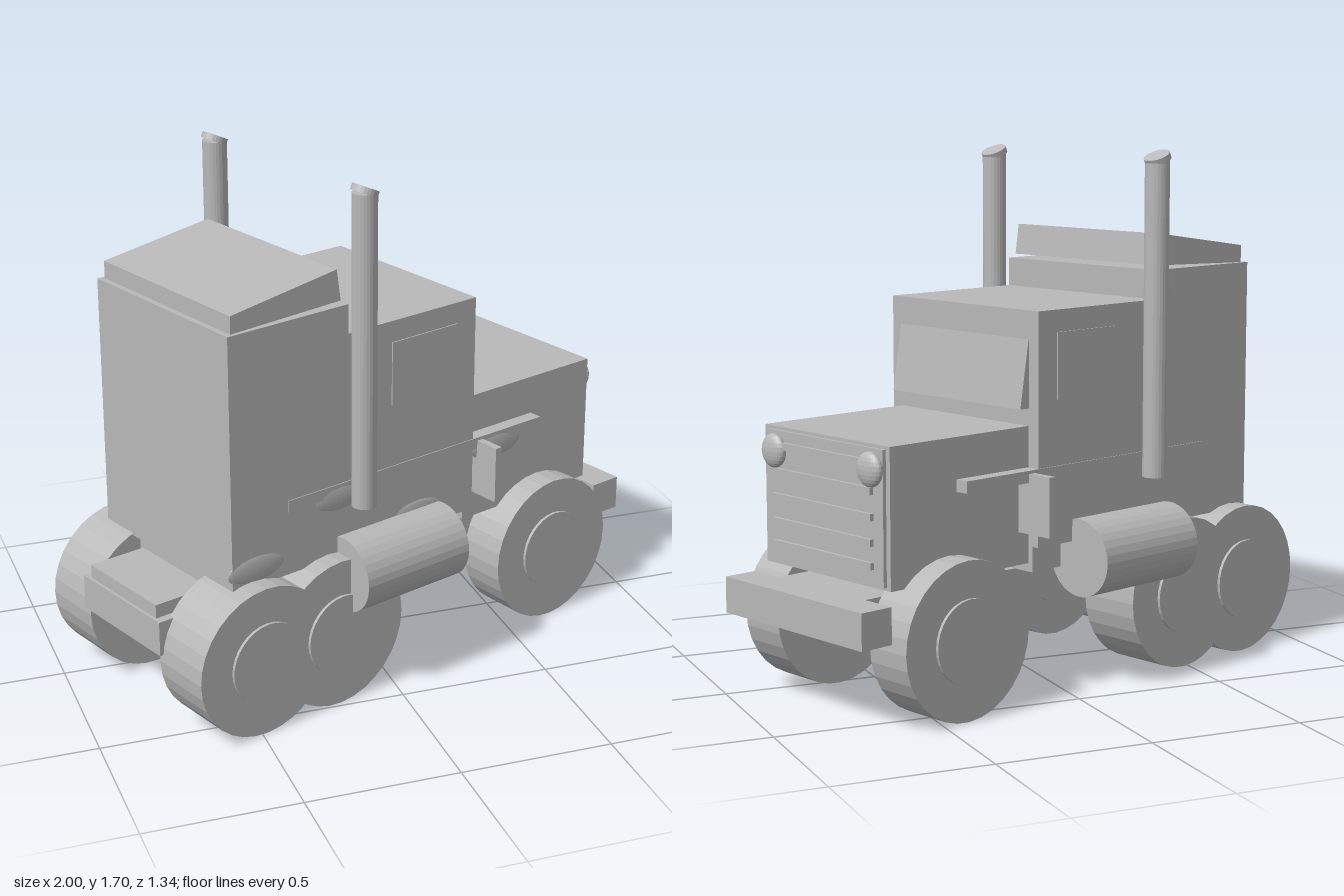
import * as THREE from 'three';

const grey = new THREE.MeshStandardMaterial({ color: 0xb8b8b8 });
grey.name = 'plain grey';
grey.flatShading = true;

export function createModel() {
  const model = new THREE.Group();
  model.name = 'truck';
  // Local frame: x runs forward, z across; the whole truck is turned 20 degrees.
  const truck = new THREE.Group();
  truck.name = 'turnedTruck';
  truck.rotation.y = THREE.MathUtils.degToRad(20);
  truck.position.set(-0.01, 0, -0.026);
  model.add(truck);

  const add = (name, geometry, x = 0, y = 0, z = 0) => {
    const mesh = new THREE.Mesh(geometry, grey);
    mesh.name = name;
    mesh.position.set(x, y, z);
    truck.add(mesh);
    return mesh;
  };
  // Box given by its limits
  const box = (name, x0, x1, y0, y1, z0, z1) =>
    add(name, new THREE.BoxGeometry(x1 - x0, y1 - y0, z1 - z0),
      (x0 + x1) / 2, (y0 + y1) / 2, (z0 + z1) / 2);
  // Side profile extruded across the truck
  const prism = (name, points, halfWidth) => {
    const shape = new THREE.Shape(points.map(p => new THREE.Vector2(...p)));
    const g = new THREE.ExtrudeGeometry(shape, { depth: 2 * halfWidth, bevelEnabled: false });
    return add(name, g, 0, 0, -halfWidth);
  };

  // Frame and bumper
  box('chassis', -0.91, 0.85, 0.275, 0.39, -0.21, 0.21);
  box('rearDeck', -0.9, -0.68, 0.39, 0.435, -0.18, 0.18);
  box('bumper', 0.845, 0.96, 0.275, 0.39, -0.33, 0.33);
  box('cabFloor', -0.7, 0.23, 0.39, 0.48, -0.29, 0.29);

  // Body
  box('sleeper', -0.725, -0.27, 0.48, 1.315, -0.342, 0.342);
  box('cab', -0.27, 0.255, 0.48, 1.22, -0.342, 0.342);
  box('hood', 0.255, 0.82, 0.425, 0.86, -0.298, 0.298);
  prism('roofFairing', [[-0.705, 1.315], [-0.29, 1.328], [-0.305, 1.43], [-0.705, 1.372]], 0.33);
  prism('windshield', [[0.25, 0.915], [0.292, 0.915], [0.257, 1.13], [0.25, 1.13]], 0.3);
  box('sideRail', -0.51, 0.557, 0.692, 0.73, -0.345, 0.345);

  // Grille with bars and headlights
  box('grillePlate', 0.82, 0.832, 0.435, 0.85, -0.28, 0.28);
  for (const y of [0.495, 0.566, 0.643, 0.722, 0.805])
    box('grilleBar', 0.83, 0.845, y - 0.011, y + 0.011, -0.235, 0.235);

  for (const side of [-1, 1]) {
    const lamp = add('headlight', new THREE.SphereGeometry(0.054, 24, 12), 0.84, 0.787, 0.23 * side);
    lamp.scale.x = 0.45;

    // Door window and mirror plate
    add('doorWindow', new THREE.BoxGeometry(0.27, 0.21, 0.008), 0.04, 1.045, 0.342 * side);
    add('sidePlate', new THREE.BoxGeometry(0.025, 0.19, 0.15), 0.285, 0.625, 0.36 * side);

    // Fuel tank
    const tank = add('fuelTank', new THREE.CylinderGeometry(0.125, 0.125, 0.42, 32), -0.105, 0.43, 0.373 * side);
    tank.rotation.z = Math.PI / 2;

    // Exhaust stack with a tilted cap
    add('exhaustStack', new THREE.CylinderGeometry(0.04, 0.04, 1.02, 24), -0.236, 1.16, 0.378 * side);
    const cap = add('exhaustCap', new THREE.CylinderGeometry(0.043, 0.043, 0.02, 24), -0.236, 1.675, 0.378 * side);
    cap.rotation.z = -0.42;

    // Wheels: one front, two rear on each side
    for (const [x, outer, width] of [[0.59, 0.388, 0.165], [-0.355, 0.41, 0.215], [-0.65, 0.41, 0.215]]) {
      const z = (outer - width / 2) * side;
      const tyre = add('tyre', new THREE.CylinderGeometry(0.25, 0.25, width, 32), x, 0.25, z);
      const hub = add('hub', new THREE.CylinderGeometry(0.133, 0.133, width + 0.02, 32), x, 0.25, z);
      tyre.rotation.x = hub.rotation.x = Math.PI / 2;
    }
  }

  // Flat oval bosses on one flank
  for (const [x, y] of [[-0.63, 0.537], [-0.3, 0.685], [0.02, 0.537], [0.36, 0.685]]) {
    const boss = add('ovalBoss', new THREE.SphereGeometry(0.11, 32, 16), x, y, 0.338);
    boss.scale.set(1, 0.42, 0.09);
  }
  return model;
}
